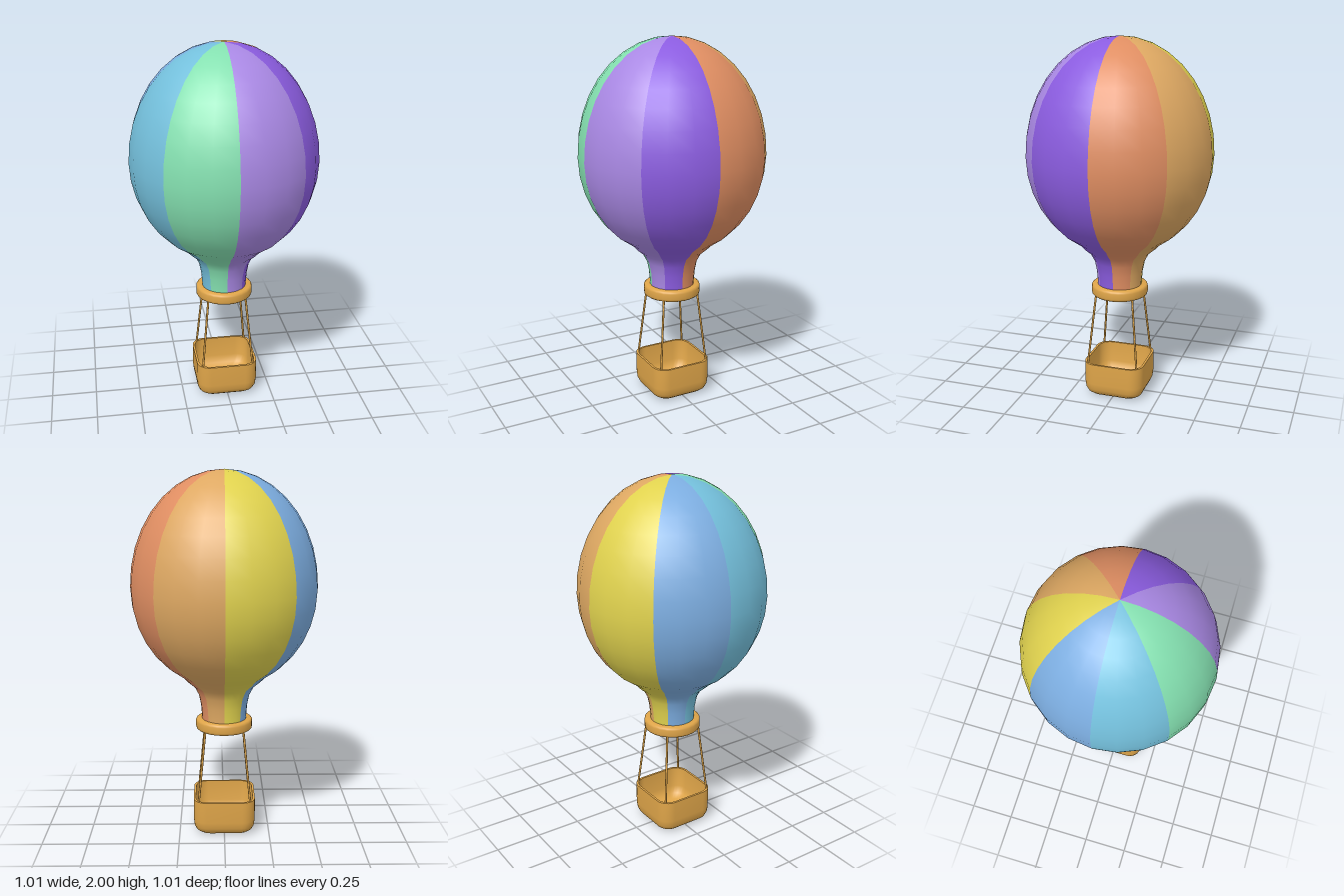
import * as THREE from 'three';
import { toCreasedNormals } from 'three/addons/utils/BufferGeometryUtils.js';

const SIDES = 24;
const GORE_COLORS = [0xa988e4, 0x8b5ce0, 0xe08e62, 0xdea862, 0xe0d24e, 0x7cade0, 0x74c0dc, 0x84e0b0];
const wood = new THREE.MeshStandardMaterial({ color: 0xdfa549 });

const v2 = (pairs) => pairs.map(([r, y]) => new THREE.Vector2(r, y));

function addMesh(parent, name, geometry, material) {
  const mesh = new THREE.Mesh(geometry, material);
  mesh.name = name;
  parent.add(mesh);
  return mesh;
}

// Envelope profile: neck, flare, then two half ellipses meeting at the widest point
function envelopeProfile() {
  const pts = v2([[0.122, 0.6], [0.123, 0.66], [0.128, 0.72], [0.14, 0.78], [0.165, 0.828], [0.205, 0.862]]);
  const widest = 1.38, radius = 0.505;
  for (let i = -6; i <= 9; i++) {
    const a = i < 0 ? (i / 6) * 1.09 : (i / 9) * (Math.PI / 2);
    const height = i < 0 ? 0.55 : 0.62;
    pts.push(new THREE.Vector2(Math.max(0, radius * Math.cos(a)), widest + height * Math.sin(a)));
  }
  return pts;
}

// Square loop with rounded corners at height y
function roundedSquare(half, y) {
  const r = half * 0.43, loop = [], steps = 6;
  for (let c = 0; c < 4; c++) {
    const mid = Math.PI / 4 + (c * Math.PI) / 2;
    const cx = Math.sign(Math.cos(mid)) * (half - r), cz = Math.sign(Math.sin(mid)) * (half - r);
    for (let i = 0; i <= steps; i++) {
      const a = (c + i / steps) * (Math.PI / 2);
      loop.push([cx + r * Math.cos(a), y, cz + r * Math.sin(a)]);
    }
  }
  return loop;
}

// Skin a list of equal-length loops, outward when the loops run up the outside
function loft(loops) {
  const n = loops[0].length, index = [];
  for (let j = 0; j < loops.length - 1; j++) {
    for (let i = 0; i < n; i++) {
      const k = (i + 1) % n;
      const a = j * n + i, b = j * n + k, c = a + n, d = b + n;
      index.push(a, c, b, b, c, d);
    }
  }
  const g = new THREE.BufferGeometry();
  g.setAttribute('position', new THREE.Float32BufferAttribute(loops.flat(2), 3));
  g.setIndex(index);
  return toCreasedNormals(g, 0.9);
}

// Straight rope between two points
function rope(from, to, radius) {
  const dir = to.clone().sub(from);
  const g = new THREE.CylinderGeometry(radius, radius, dir.length(), 8);
  g.applyQuaternion(new THREE.Quaternion().setFromUnitVectors(new THREE.Vector3(0, 1, 0), dir.normalize()));
  const mid = from.clone().add(to).multiplyScalar(0.5);
  return g.translate(mid.x, mid.y, mid.z);
}

export function createModel() {
  const model = new THREE.Group();
  model.name = 'hotAirBalloon';

  // Eight coloured gores
  const envelope = new THREE.Group();
  envelope.name = 'envelope';
  model.add(envelope);
  const profile = envelopeProfile();
  const step = (Math.PI * 2) / GORE_COLORS.length;
  GORE_COLORS.forEach((color, i) => {
    const geometry = new THREE.LatheGeometry(profile, SIDES / GORE_COLORS.length, i * step, step);
    addMesh(envelope, `gore${i + 1}`, geometry,
      new THREE.MeshStandardMaterial({ color, side: THREE.DoubleSide }));
  });

  // Ring around the mouth
  const ring = v2([[0.116, 0.585], [0.148, 0.585], [0.155, 0.591], [0.157, 0.6], [0.157, 0.63],
    [0.155, 0.639], [0.148, 0.645], [0.116, 0.645], [0.116, 0.585]]);
  addMesh(model, 'mouthRing', toCreasedNormals(new THREE.LatheGeometry(ring, SIDES), 0.9), wood);

  // Four ropes from ring to basket corners
  for (const sx of [-1, 1]) {
    for (const sz of [-1, 1]) {
      const top = new THREE.Vector3(sx * 0.104, 0.6, sz * 0.104);
      const bottom = new THREE.Vector3(sx * 0.143, 0.19, sz * 0.143);
      addMesh(model, 'rope', rope(bottom, top, 0.006), wood);
    }
  }

  // Hollow basket: underside, rounded wall, rim, inner wall and floor
  const sections = [[0.001, 0], [0.115, 0], [0.138, 0.006], [0.156, 0.021], [0.167, 0.045], [0.171, 0.08],
    [0.171, 0.2], [0.159, 0.2], [0.159, 0.08], [0.148, 0.035], [0.12, 0.014], [0.001, 0.014]];
  addMesh(model, 'basket', loft(sections.map(([half, y]) => roundedSquare(half, y))), wood);

  return model;
}
